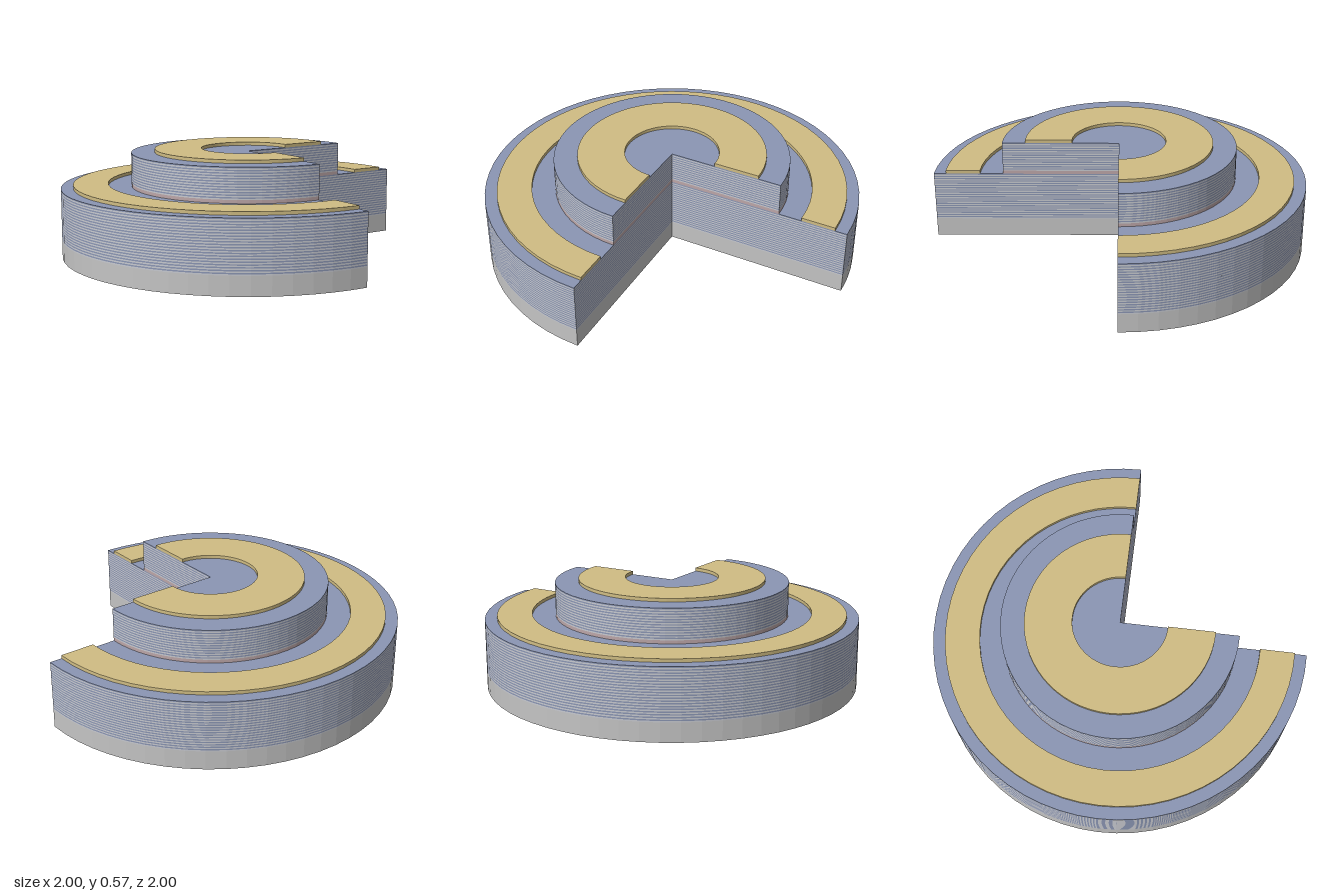
import * as THREE from 'three';

const material = (name, color) => {
  const m = new THREE.MeshStandardMaterial({ color });
  m.name = name;
  return m;
};

// Three-quarter disc or ring, open in the front left quadrant, from y0 to y1
function sector(name, inner, outer, y0, y1, mat) {
  const shape = new THREE.Shape();
  const end = Math.PI * 1.5;
  shape.absarc(0, 0, outer, 0, end, false);
  if (inner > 0) shape.absarc(0, 0, inner, end, 0, true);
  else shape.lineTo(0, 0);
  shape.closePath();
  const geometry = new THREE.ExtrudeGeometry(shape, {
    depth: y1 - y0, bevelEnabled: false, curveSegments: 24,
  });
  geometry.rotateX(-Math.PI / 2);
  geometry.translate(0, y0, 0);
  const mesh = new THREE.Mesh(geometry, mat);
  mesh.name = name;
  return mesh;
}

// Stack of alternating thin layers, ending with a blue one on top
function layerStack(name, radius, y0, y1, pairs, light, dark) {
  const group = new THREE.Group();
  group.name = name;
  const t = (y1 - y0) / (pairs * 2);
  for (let i = 0; i < pairs * 2; i++) {
    const blue = i % 2 === 1;
    group.add(sector(blue ? 'blueLayer' : 'paleLayer', 0, radius,
      y0 + i * t, y0 + (i + 1) * t, blue ? dark : light));
  }
  return group;
}

export function createModel() {
  const grey = material('substrate grey', 0xc4c4c4);
  const pale = material('pale layer grey', 0xc8cad0);
  const blue = material('layer blue', 0x8b96b4);
  const gold = material('contact gold', 0xd0bd84);
  const rose = material('active layer rose', 0xbca6a8);

  const model = new THREE.Group();
  model.name = 'layeredDisc';
  model.add(
    // Base and lower stack
    sector('substrate', 0, 1, 0, 0.1, grey),
    layerStack('lowerStack', 1, 0.1, 0.37, 20, pale, blue),
    // Raised centre
    sector('activeLayer', 0, 0.625, 0.37, 0.388, rose),
    layerStack('upperStack', 0.625, 0.388, 0.55, 12, pale, blue),
    // Contact rings
    sector('lowerContactRing', 0.75, 0.935, 0.37, 0.388, gold),
    sector('upperContactRing', 0.25, 0.5, 0.55, 0.568, gold),
  );
  return model;
}
